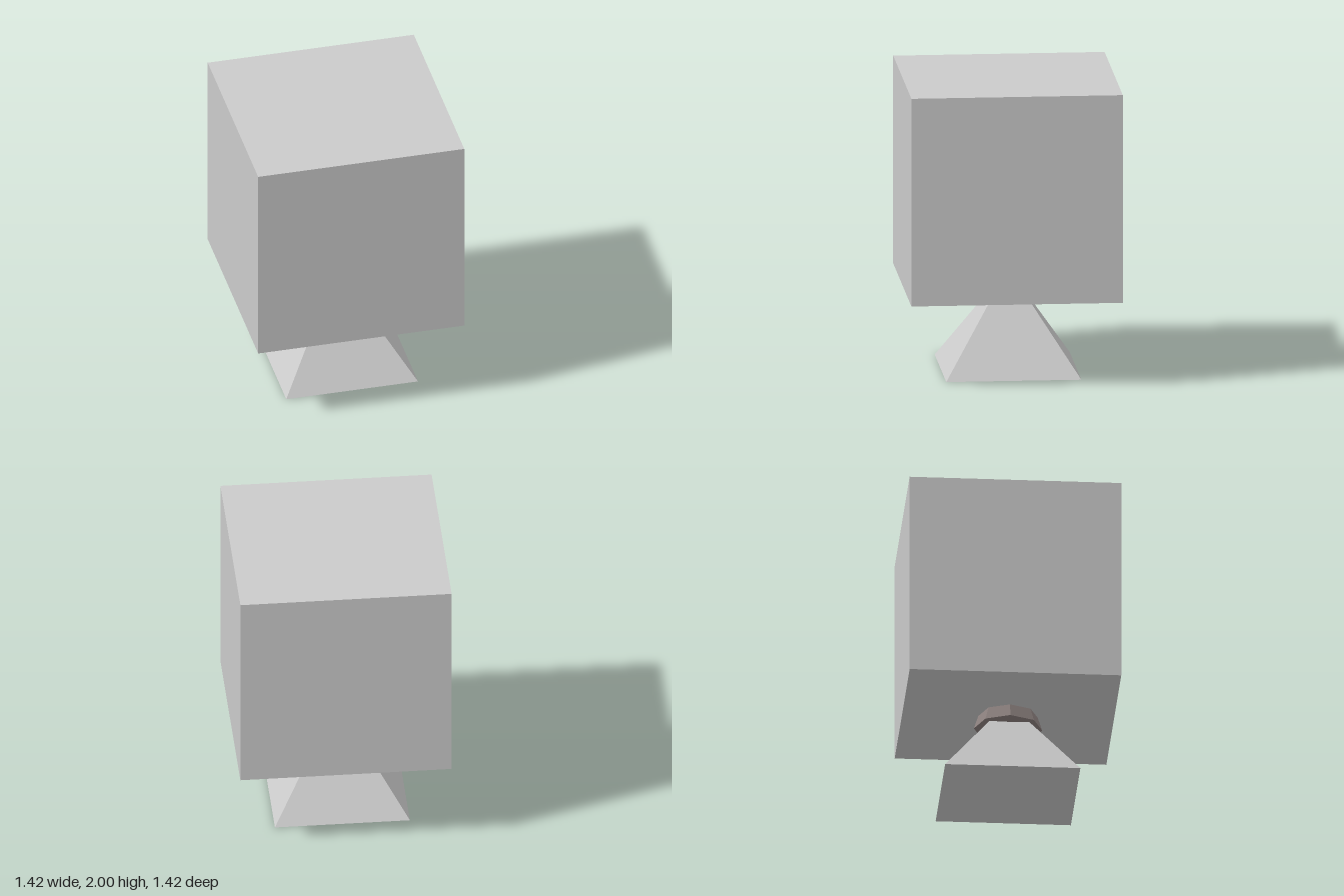
import * as THREE from 'three';

export function createModel() {
  const model = new THREE.Group();
  const grey = new THREE.MeshStandardMaterial({ color: 0xcccccc, flatShading: true });
  const brown = new THREE.MeshStandardMaterial({ color: 0x8f8381, flatShading: true });

  const add = (name, geometry, material, y) => {
    const mesh = new THREE.Mesh(geometry, material);
    mesh.name = name;
    mesh.position.y = y;
    model.add(mesh);
  };

  // Large cube on top
  const size = 1.424;
  add('cube', new THREE.BoxGeometry(size, size, size), grey, 2 - size / 2);

  // Four-sided pyramid foot, its tip buried in the cube
  const height = 0.68;
  const foot = new THREE.ConeGeometry(0.455 * Math.SQRT2, height, 4);
  foot.rotateY(Math.PI / 4);
  add('pyramidFoot', foot, grey, height / 2);

  // Eight-sided tapered collar with a shallow sloping underside
  const profile = [[0, 0.475], [0.13, 0.475], [0.23, 0.483], [0.2, 0.575], [0.18, 0.63], [0, 0.63]]
    .map(([r, y]) => new THREE.Vector2(r, y));
  add('collar', new THREE.LatheGeometry(profile, 8), brown, 0);

  return model;
}
